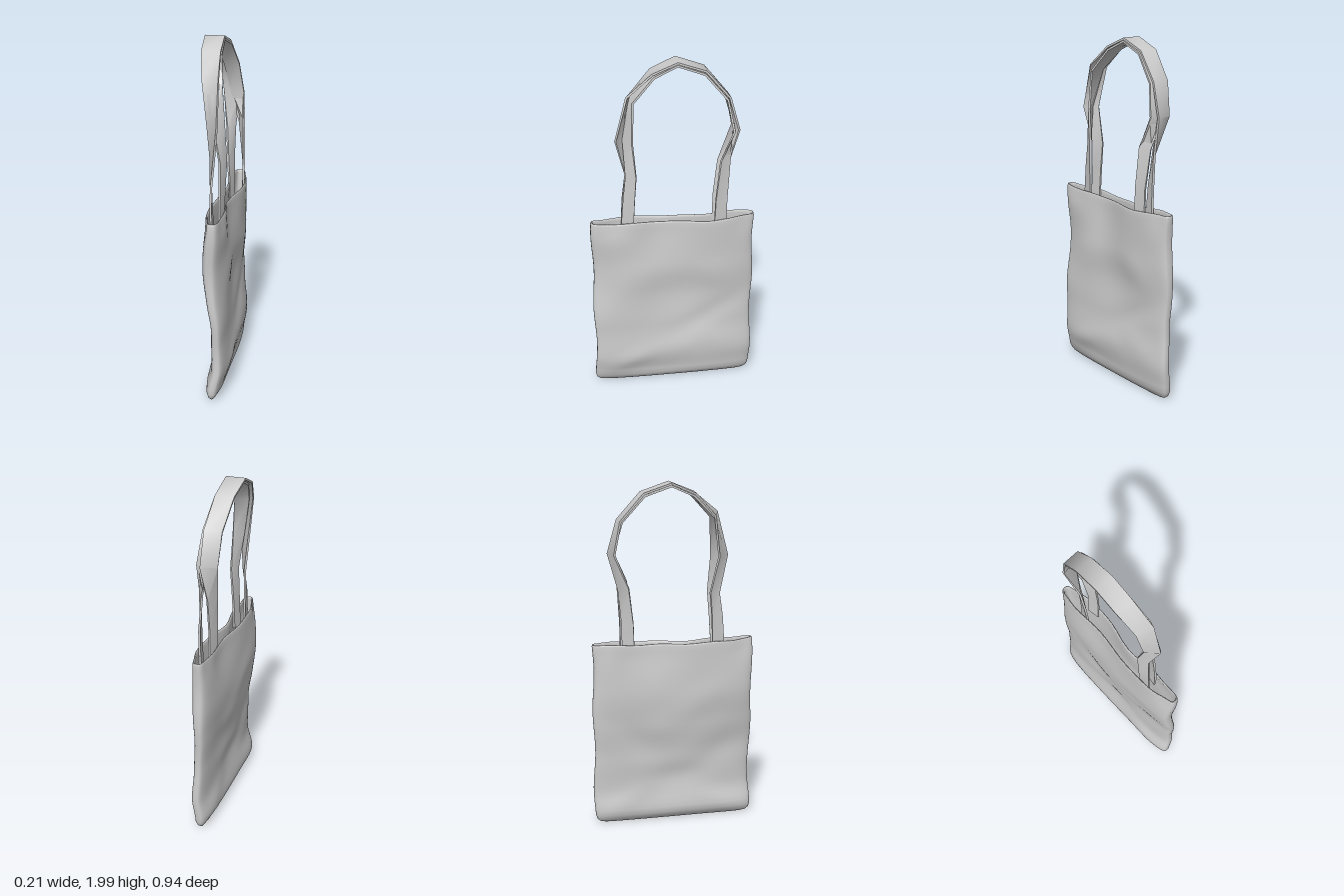
import * as THREE from 'three';
import { toCreasedNormals, mergeVertices } from 'three/addons/utils/BufferGeometryUtils.js';

const cloth = new THREE.MeshStandardMaterial({ color: 0xcccccc, side: THREE.DoubleSide });

// Joins a list of equal-length closed rings of [x, y, z] into one surface
function loft(rings, capped) {
  const n = rings[0].length, index = [];
  for (let i = 0; i < rings.length - 1; i++) {
    for (let j = 0; j < n; j++) {
      const a = i * n + j, b = i * n + (j + 1) % n;
      index.push(a, b, b + n, a, b + n, a + n);
    }
  }
  if (capped) {
    const e = (rings.length - 1) * n;
    for (let j = 1; j < n - 1; j++) index.push(0, j + 1, j, e, e + j, e + j + 1);
  }
  const g = new THREE.BufferGeometry();
  g.setAttribute('position', new THREE.Float32BufferAttribute(rings.flat(2), 3));
  g.setIndex(index);
  g.computeVertexNormals();
  return g;
}

// Smooth lookup in a table of [y, value] rows
function lookup(table, y) {
  let i = 0;
  while (i < table.length - 2 && y > table[i + 1][0]) i++;
  const [y0, a] = table[i], [y1, b] = table[i + 1];
  return THREE.MathUtils.lerp(a, b, THREE.MathUtils.smoothstep(y, y0, y1));
}

// Bag shape by height: mid-line in x, half thickness, and drift of the front edge
const MID = [[0, 0.02], [0.06, 0.022], [0.2, 0.038], [0.4, 0.028], [0.6, 0.018], [0.8, 0.02], [1.08, 0.022]];
const HALF = [[0, 0.03], [0.06, 0.054], [0.2, 0.053], [0.4, 0.05], [0.6, 0.054], [0.8, 0.066], [1.08, 0.07]];
const EDGE = [[0, -0.006], [0.2, 0.008], [0.45, 0.014], [0.8, -0.016], [1.08, -0.002]];

// Creases: [z, y, z radius, y radius, push along x, slope of the fold]
const CREASES = {
  left: [
    [0.08, 1.08, 0.17, 0.26, -0.05, 0], [0.36, 1.09, 0.12, 0.09, -0.025, 0], [-0.42, 1.09, 0.07, 0.1, -0.018, 0],
    [-0.02, 0.62, 0.15, 0.2, -0.016, 0], [0.28, 0.66, 0.16, 0.13, 0.01, -0.3], [-0.26, 0.7, 0.14, 0.1, 0.008, 0.4],
    [-0.2, 0.45, 0.2, 0.07, -0.01, -0.5], [-0.24, 0.28, 0.16, 0.08, 0.008, 0.3],
    [0.26, 0.17, 0.18, 0.06, 0.01, -0.4], [-0.04, 0.24, 0.1, 0.05, 0.006, 0], [0.15, 0.08, 0.2, 0.06, -0.01, 0],
  ],
  right: [
    [-0.15, 1.08, 0.2, 0.18, 0.032, 0], [0.43, 1.09, 0.07, 0.1, 0.022, 0], [-0.41, 1.09, 0.06, 0.1, 0.012, 0],
    [0.1, 0.7, 0.2, 0.1, -0.008, 0.5], [-0.2, 0.5, 0.16, 0.1, 0.012, -0.5], [0.25, 0.4, 0.16, 0.1, 0.01, 0.4],
    [0, 0.27, 0.16, 0.07, 0.014, 0], [-0.28, 0.14, 0.14, 0.07, -0.008, 0.4], [0.28, 0.1, 0.16, 0.06, -0.008, -0.4],
  ],
};
const crease = (side, y, z) => CREASES[side].reduce((s, [cz, cy, rz, ry, d, slope]) =>
  s + d * Math.exp(-(((z - cz) / rz) ** 2) - ((y - cy - slope * (z - cz)) / ry) ** 2), 0);

// One horizontal ring of the bag; inset moves it in by the cloth thickness
function bagRing(y, scale, inset) {
  const ring = [], n = 72;
  for (let j = 0; j < n; j++) {
    const t = (j / n) * Math.PI * 2, c = Math.cos(t), s = Math.sin(t);
    const halfZ = 0.466 + 0.006 * Math.sin(y * 13 + Math.sign(c));
    const z = Math.sign(c) * Math.abs(c) ** 0.8 * (halfZ * scale - inset);
    const flat = Math.sign(s) * Math.abs(s) ** 0.6;
    let x = lookup(MID, y) + flat * (lookup(HALF, y) * Math.min(1, scale ** 6) - inset);
    x += crease(s > 0 ? 'left' : 'right', y, z) * Math.abs(flat);
    x += lookup(EDGE, y) * THREE.MathUtils.smoothstep(z, 0.1, 0.46);
    const sag = 0.012 * (y / 1.08) ** 4 * Math.cos(z * 3.2) + 0.003 * Math.sin(z * 22) * (y > 1 ? 1 : 0);
    ring.push([x, y - sag, z]);
  }
  return ring;
}

function makeBag() {
  const rings = [[0.005, 0.01], [0.004, 0.6], [0.004, 0.9], [0.01, 0.95], [0.025, 0.985], [0.05, 1]]
    .map(([y, s]) => bagRing(y, s, 0));
  for (let i = 1; i <= 32; i++) rings.push(bagRing(0.05 + (i / 32) * 1.025, 1, 0));
  // rounded rim, then the lining back down to the floor
  rings.push(bagRing(1.085, 1, 0.003), bagRing(1.087, 1, 0.007), bagRing(1.082, 1, 0.011));
  for (let i = 0; i <= 24; i++) rings.push(bagRing(1.07 - (i / 24) * 1.03, 1, 0.013));
  rings.push(bagRing(0.02, 0.9, 0.013), bagRing(0.02, 0.05, 0.013));
  return loft(rings, false);
}

// Flat strap along rows of [x, y, z, twist in degrees, width]; twist 0 lays the width along x
function makeStrap(rows, thickness) {
  const pts = rows.map(([x, y, z]) => new THREE.Vector3(x, y, z));
  const rings = rows.map(([, , , twist, width], i) => {
    const along = pts[Math.min(i + 1, pts.length - 1)].clone().sub(pts[Math.max(i - 1, 0)]);
    along.x = 0;
    along.normalize();
    const inward = along.clone().cross(new THREE.Vector3(1, 0, 0));
    const a = THREE.MathUtils.degToRad(twist);
    const wide = new THREE.Vector3(Math.cos(a), 0, 0).addScaledVector(inward, Math.sin(a));
    const thin = along.clone().cross(wide);
    return [[-1, -1], [1, -1], [1, 1], [-1, 1]].map(([u, v]) => pts[i].clone()
      .addScaledVector(wide, u * width / 2).addScaledVector(thin, v * thickness / 2).toArray());
  });
  return toCreasedNormals(mergeVertices(loft(rings, true)), 0.8);
}

const OUTER_STRAP = [
  [-0.015, 0.98, 0.257, -85, 0.07], [-0.02, 1.08, 0.257, -85, 0.07], [-0.022, 1.22, 0.25, -78, 0.066],
  [-0.018, 1.36, 0.235, -65, 0.066], [-0.008, 1.57, 0.285, -45, 0.09], [-0.026, 1.81, 0.236, -20, 0.1],
  [-0.048, 1.93, 0.108, -3, 0.108], [-0.053, 1.988, -0.03, 0, 0.11], [-0.045, 1.935, -0.185, 0, 0.105],
  [-0.025, 1.785, -0.313, -2, 0.1], [-0.015, 1.6, -0.356, -14, 0.095], [-0.008, 1.4, -0.288, -55, 0.068],
  [-0.005, 1.2, -0.267, -70, 0.068], [0, 1.08, -0.264, -75, 0.07], [0, 0.98, -0.264, -75, 0.07],
];
const INNER_STRAP = [
  [0.035, 0.98, 0.26, 80, 0.07], [0.037, 1.08, 0.26, 80, 0.07], [0.04, 1.22, 0.25, 75, 0.066],
  [0.042, 1.36, 0.237, 65, 0.062], [0.022, 1.57, 0.25, 40, 0.07], [-0.006, 1.79, 0.222, 5, 0.085],
  [-0.036, 1.916, 0.1, 0, 0.095], [-0.045, 1.974, -0.03, 0, 0.1], [-0.033, 1.922, -0.177, 0, 0.095],
  [-0.008, 1.779, -0.3, 0, 0.09], [0.02, 1.6, -0.342, 10, 0.08], [0.055, 1.43, -0.288, 60, 0.068],
  [0.07, 1.2, -0.268, 78, 0.068], [0.07, 1.08, -0.265, 80, 0.07], [0.066, 0.98, -0.265, 80, 0.07],
];

export function createModel() {
  const model = new THREE.Group();
  model.name = 'toteBag';
  const add = (name, geometry) => {
    const mesh = new THREE.Mesh(geometry, cloth);
    mesh.name = name;
    model.add(mesh);
  };
  add('bagBody', makeBag());
  add('outerStrap', makeStrap(OUTER_STRAP, 0.012));
  add('innerStrap', makeStrap(INNER_STRAP, 0.012));
  return model;
}
